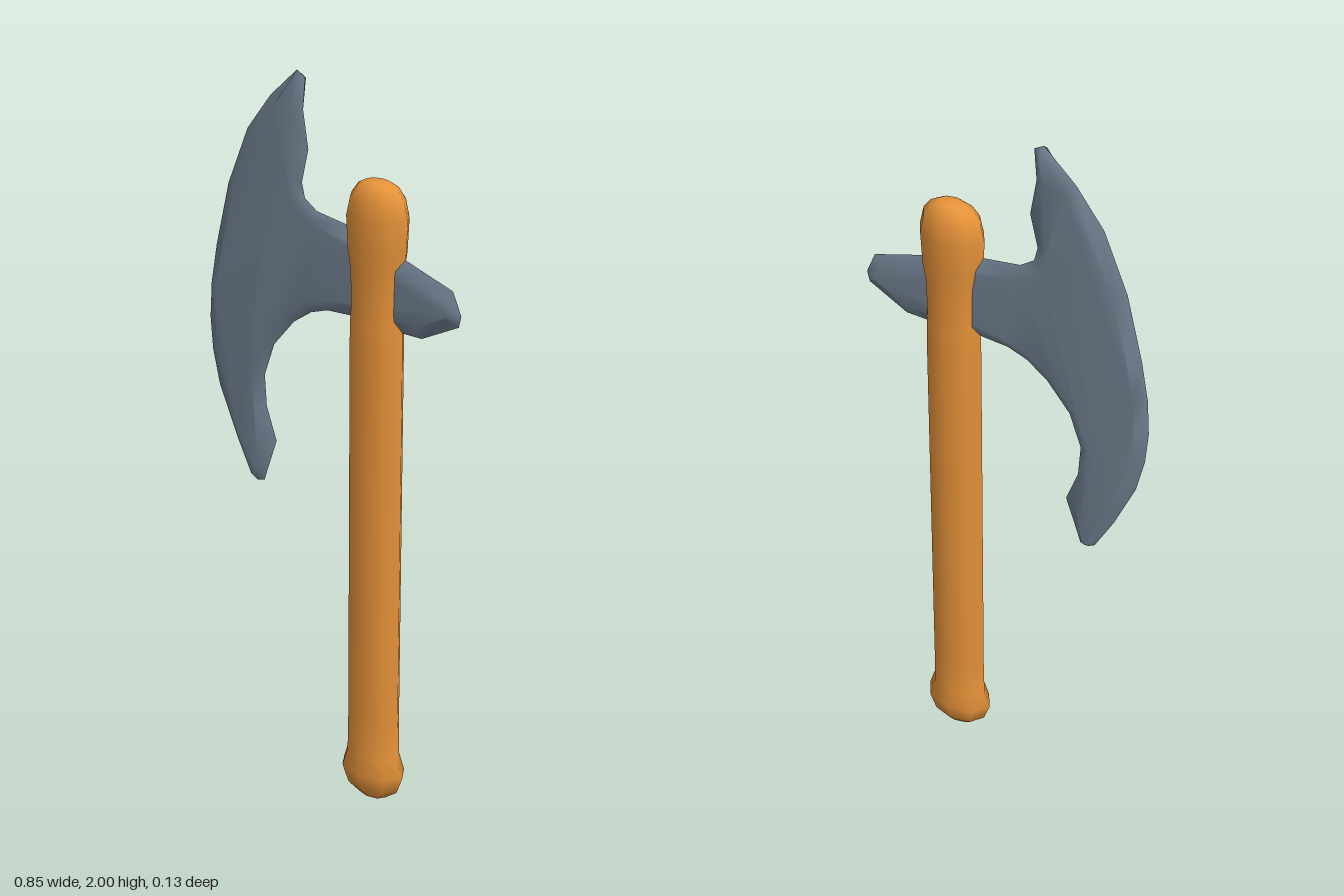
import * as THREE from 'three';
import { mergeGeometries } from 'three/addons/utils/BufferGeometryUtils.js';

// Blade outline, counter-clockwise: x, y and optional bevel width
const OUTLINE = [
  // cutting edge, top tip to bottom tip
  [-0.11, 2.0, 0.012], [-0.2, 1.92], [-0.28, 1.82], [-0.35, 1.66], [-0.397, 1.48], [-0.418, 1.37],
  [-0.425, 1.27], [-0.418, 1.18], [-0.395, 1.08], [-0.335, 0.945], [-0.28, 0.845, 0.016],
  [-0.26, 0.833, 0.016], [-0.235, 0.84, 0.016], [-0.225, 0.87, 0.02],
  // inner curve and lower neck
  [-0.19, 0.967], [-0.224, 1.06], [-0.23, 1.15], [-0.195, 1.245], [-0.125, 1.325],
  [-0.065, 1.365], [-0.01, 1.383], [0.07, 1.387],
  // rear spike
  [0.24, 1.378], [0.3, 1.378], [0.415, 1.435], [0.422, 1.465], [0.395, 1.525], [0.24, 1.575],
  // upper neck and back of the top tip
  [0.07, 1.625], [-0.045, 1.643], [-0.085, 1.67], [-0.095, 1.71], [-0.073, 1.8],
  [-0.09, 1.9, 0.025], [-0.083, 1.985, 0.012],
];

// Moves each outline corner inward along its bisector
function insetOutline(points) {
  const n = points.length;
  return points.map(([x, y, width = 0.032], i) => {
    const a = points[(i + n - 1) % n], b = points[(i + 1) % n];
    const d1 = new THREE.Vector2(x - a[0], y - a[1]).normalize();
    const d2 = new THREE.Vector2(b[0] - x, b[1] - y).normalize();
    const inward = new THREE.Vector2(-d1.y - d2.y, d1.x + d2.x).normalize();
    const miter = Math.max(0.7, inward.dot(new THREE.Vector2(-d1.y, d1.x)));
    return new THREE.Vector2(x, y).addScaledVector(inward, width / miter);
  });
}

// One side of the blade: flat face plus a bevel falling to the sharp rim
function bladeSide(side) {
  const n = OUTLINE.length, inner = insetOutline(OUTLINE);
  const positions = [], index = [];
  OUTLINE.forEach(([x, y]) => positions.push(x, y, 0));
  inner.forEach((p) => positions.push(p.x, p.y, side * 0.018));
  const add = (a, b, c) => (side > 0 ? index.push(a, b, c) : index.push(a, c, b));
  for (let i = 0; i < n; i++) {
    const j = (i + 1) % n;
    add(i, j, n + j);
    add(i, n + j, n + i);
  }
  for (const [a, b, c] of THREE.ShapeUtils.triangulateShape(inner, [])) add(n + a, n + b, n + c);
  const geometry = new THREE.BufferGeometry();
  geometry.setAttribute('position', new THREE.Float32BufferAttribute(positions, 3));
  geometry.setIndex(index);
  geometry.computeVertexNormals();
  return geometry;
}

export function createModel() {
  const group = new THREE.Group();
  group.name = 'axe';

  // Eight-sided oval handle with pommel, grip and rounded top
  const profile = [
    [0, 0], [0.045, 0.003], [0.083, 0.032], [0.103, 0.085], [0.086, 0.135], [0.084, 0.25],
    [0.084, 1.33], [0.083, 1.39], [0.08, 1.43], [0.082, 1.53], [0.091, 1.58], [0.096, 1.67],
    [0.084, 1.72], [0.062, 1.748], [0.035, 1.762], [0, 1.763],
  ].map(([r, y]) => new THREE.Vector2(r, y));
  const handleGeometry = new THREE.LatheGeometry(profile, 8);
  handleGeometry.scale(1, 1, 0.62);
  const handle = new THREE.Mesh(handleGeometry, new THREE.MeshStandardMaterial({ color: 0xe8943a }));
  handle.name = 'handle';
  handle.position.x = 0.155;
  group.add(handle);

  // Crescent blade with neck and rear spike
  const blade = new THREE.Mesh(
    mergeGeometries([bladeSide(1), bladeSide(-1)]),
    new THREE.MeshStandardMaterial({ color: 0x708090 }),
  );
  blade.name = 'blade';
  group.add(blade);

  return group;
}
